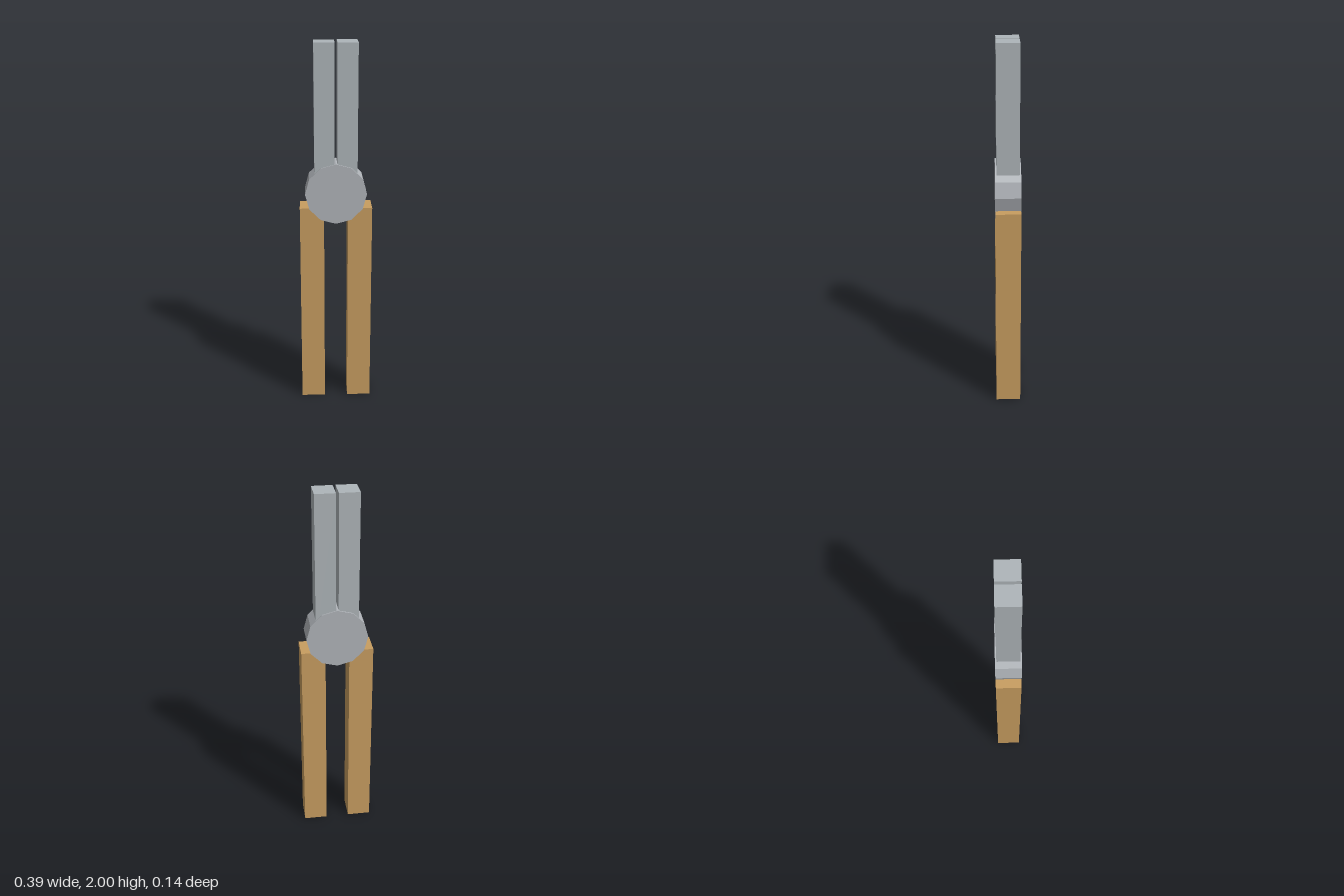
import * as THREE from 'three';

export function createModel() {
  const model = new THREE.Group();
  model.name = 'pliers';

  const material = (name, color) => {
    const m = new THREE.MeshStandardMaterial({ color });
    m.name = name;
    m.flatShading = true;
    return m;
  };
  const jawSteel = material('jaw steel', 0xaeb5b9);
  const pivotSteel = material('pivot steel', 0xb0b4b9);
  const gripTan = material('grip tan', 0xc89d60);

  // Upright bar standing between two heights
  const bar = (name, mat, x, width, bottom, top, depth) => {
    const mesh = new THREE.Mesh(new THREE.BoxGeometry(width, top - bottom, depth), mat);
    mesh.name = name;
    mesh.position.set(x, (bottom + top) / 2, 0);
    model.add(mesh);
  };

  // Mirrored handles and jaws
  for (const [side, s] of [['left', 1], ['right', -1]]) {
    bar(side + 'Handle', gripTan, s * 0.1283, 0.129, 0, 1.133, 0.1345);
    bar(side + 'Jaw', jawSteel, s * 0.0603, 0.1065, 1.21, 2, 0.121);
  }

  // Twelve-sided pivot, axis along z with a corner pointing up
  const pivot = new THREE.Mesh(new THREE.CylinderGeometry(0.164, 0.164, 0.136, 12), pivotSteel);
  pivot.name = 'pivot';
  pivot.rotation.x = Math.PI / 2;
  pivot.position.y = 1.21;
  model.add(pivot);

  return model;
}
